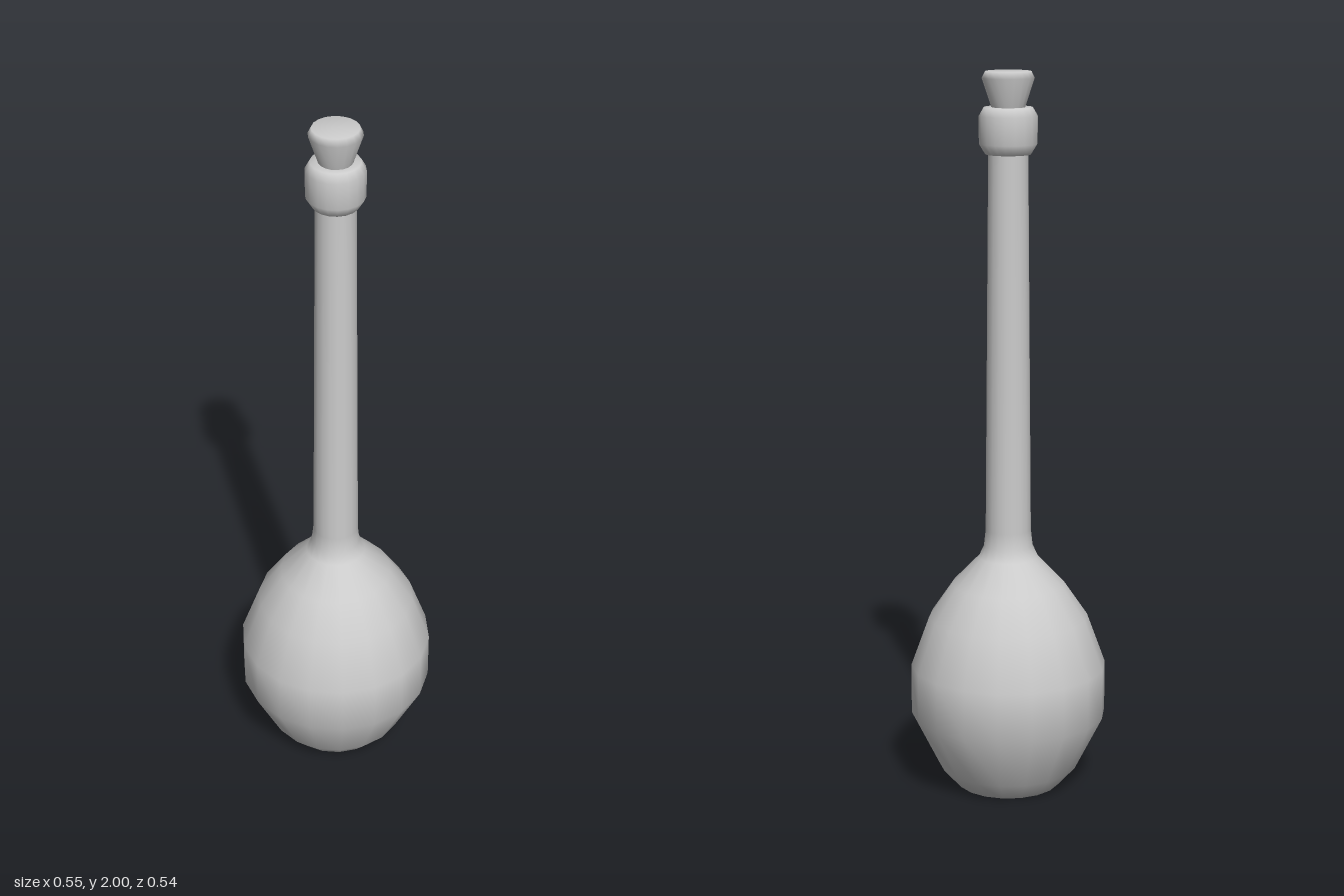
import * as THREE from 'three';

const SIDES = 18;

// Revolves a [radius, height] profile, listed from bottom to top, with a corner on +x.
function turned(name, profile, material) {
  const points = profile.map(([r, y]) => new THREE.Vector2(r, y));
  const mesh = new THREE.Mesh(new THREE.LatheGeometry(points, SIDES, Math.PI / 2), material);
  mesh.name = name;
  return mesh;
}

export function createModel() {
  const group = new THREE.Group();
  group.name = 'bottle';
  const material = new THREE.MeshStandardMaterial({ color: 0xcccccc });

  // Flat base, rounded belly and sloping shoulder running into the long neck
  group.add(turned('flask', [
    [0, 0], [0.145, 0], [0.195, 0.055], [0.273, 0.21], [0.273, 0.35],
    [0.222, 0.49], [0.157, 0.585], [0.083, 0.662], [0.068, 0.695],
    [0.063, 0.74], [0.054, 1.79],
  ], material));

  // Bevelled lip around the mouth
  group.add(turned('lip', [
    [0.052, 1.78], [0.062, 1.78], [0.079, 1.808], [0.079, 1.882],
    [0.066, 1.905], [0.04, 1.905], [0, 1.905],
  ], material));

  // Tapered stopper, wider at the top
  group.add(turned('stopper', [
    [0.042, 1.895], [0.071, 1.982], [0.062, 2], [0, 2],
  ], material));

  return group;
}
